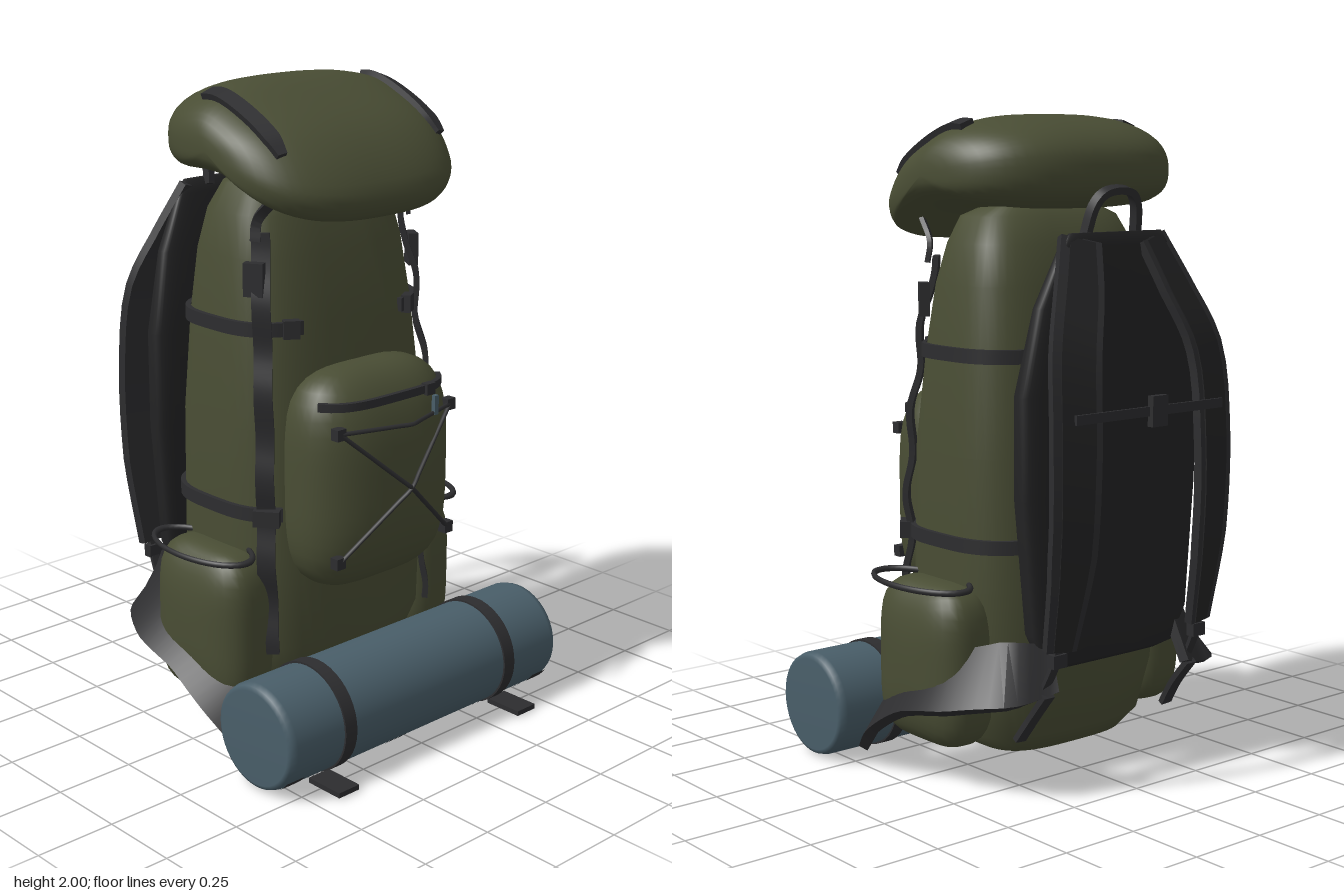
import * as THREE from 'three';
import { mergeVertices, toCreasedNormals } from 'three/addons/utils/BufferGeometryUtils.js';

const V = (x, y, z) => new THREE.Vector3(x, y, z);
const mat = (name, color) => { const m = new THREE.MeshStandardMaterial({ color }); m.name = name; return m; };
const spow = (v, p) => Math.sign(v) * Math.pow(Math.abs(v), p);
const range = (n, f) => Array.from({ length: n + 1 }, (_, i) => f(i / n));

// Closed skin over a list of rings, faces turned outward by signed volume
function loft(rings) {
  const n = rings[0].length, pts = rings.flat(), idx = [];
  for (let r = 0; r < rings.length - 1; r++) for (let i = 0; i < n; i++) {
    const a = r * n + i, b = r * n + (i + 1) % n;
    idx.push(a, b, b + n, a, b + n, a + n);
  }
  const cap = (start, flip) => {
    const mid = V(0, 0, 0);
    for (let i = 0; i < n; i++) mid.addScaledVector(pts[start + i], 1 / n);
    const c = pts.push(mid) - 1;
    for (let i = 0; i < n; i++) {
      const a = start + i, b = start + (i + 1) % n;
      idx.push(c, flip ? b : a, flip ? a : b);
    }
  };
  cap(0, true);
  cap((rings.length - 1) * n, false);
  let vol = 0;
  for (let i = 0; i < idx.length; i += 3)
    vol += pts[idx[i]].dot(V(0, 0, 0).crossVectors(pts[idx[i + 1]], pts[idx[i + 2]]));
  if (vol < 0) idx.reverse();
  const g = new THREE.BufferGeometry().setFromPoints(pts);
  g.setIndex(idx);
  g.computeVertexNormals();
  return g;
}

// Flat webbing along a path; side is the direction of its width
function ribbon(points, width, thick, side, steps = 20) {
  const curve = new THREE.CatmullRomCurve3(points);
  const w = Array.isArray(width) ? width : [width, width];
  return toCreasedNormals(loft(range(steps, t => {
    const p = curve.getPoint(t), T = curve.getTangent(t);
    const S = side.clone().addScaledVector(T, -side.dot(T)).normalize();
    const N = V(0, 0, 0).crossVectors(T, S);
    const k = t * (w.length - 1), i = Math.min(Math.floor(k), w.length - 2);
    const h = THREE.MathUtils.lerp(w[i], w[i + 1], k - i) / 2;
    return [[1, 1], [1, -1], [-1, -1], [-1, 1]].map(([a, b]) =>
      p.clone().addScaledVector(S, a * h).addScaledVector(N, b * thick / 2));
  })), 0.7);
}

// Stuffed pouch: rounded outline (n) in xy, domed (m) along z
function pouch(w, h, d, n, m) {
  let g = new THREE.SphereGeometry(1, 40, 28);
  g.deleteAttribute('uv');
  g.deleteAttribute('normal');
  g = mergeVertices(g, 1e-4);
  const p = g.attributes.position;
  for (let i = 0; i < p.count; i++) {
    const x = p.getX(i), y = p.getY(i), z = p.getZ(i);
    const o = Math.pow(Math.abs(x) ** n + Math.abs(y) ** n, m / n);
    const k = Math.pow(o + Math.abs(z) ** m, -1 / m);
    p.setXYZ(i, x * k * w, y * k * h, z * k * d);
  }
  g.computeVertexNormals();
  return g;
}

// Rows of height, half width, front z, back z
const BODY = [[.07, .15, .03, -.17], [.085, .25, .09, -.225], [.14, .32, .17, -.262], [.3, .36, .235, -.298],
  [.6, .375, .232, -.302], [1, .372, .222, -.297], [1.3, .35, .185, -.277], [1.5, .328, .15, -.252],
  [1.62, .3, .115, -.222], [1.7, .26, .085, -.18], [1.75, .15, 0, -.12]];
const PANEL = [[.38, .2, -.35, -.37], [.4, .26, -.33, -.4], [.5, .31, -.32, -.41], [.9, .345, -.31, -.41],
  [1.2, .345, -.31, -.41], [1.45, .29, -.335, -.412], [1.62, .21, -.36, -.41], [1.66, .18, -.38, -.4]];

function sectionPoint(rows, n, a, y, off = 0) {
  let i = 0;
  while (i < rows.length - 2 && y > rows[i + 1][0]) i++;
  const t = (y - rows[i][0]) / (rows[i + 1][0] - rows[i][0]);
  const [, w, f, b] = rows[i].map((v, k) => THREE.MathUtils.lerp(v, rows[i + 1][k], t));
  return V((w + off) * spow(Math.cos(a), 2 / n), y, (f + b) / 2 + ((f - b) / 2 + off) * spow(Math.sin(a), 2 / n));
}
const sectionLoft = (rows, n) => loft(rows.map(r =>
  range(47, t => sectionPoint(rows, n, t * Math.PI * 2 * 47 / 48, r[0]))));

// Lid side profile as z, y
const LID = [[-.345, 1.88], [-.3, 1.94], [-.2, 1.985], [-.06, 1.998], [.08, 1.95], [.22, 1.87], [.31, 1.77], [.345, 1.68],
  [.305, 1.62], [.2, 1.66], [.06, 1.71], [-.1, 1.725], [-.27, 1.73], [-.34, 1.78]];
const lidPoint = (x, z, y) => {
  const s = Math.pow(1 - Math.abs(x / .415) ** 2.8, 1 / 2.8);
  return V(x, 1.82 + (y - 1.82) * s, z * s);
};

// Front pocket surface
const PK = { w: .287, h: .343, d: .18, y: .833, z: .235, n: 4, m: 2.4 };
const onPocket = (x, y, off) => {
  const o = Math.pow(Math.abs(x / PK.w) ** PK.n + Math.abs((y - PK.y) / PK.h) ** PK.n, PK.m / PK.n);
  return V(x, y, PK.z + off + PK.d * Math.pow(Math.max(0, 1 - o), 1 / PK.m));
};

export function createModel() {
  const root = new THREE.Group();
  const olive = mat('olive canvas', 0x494d34), web = mat('black webbing', 0x2d2d2f);
  const pad = mat('black padding', 0x232324), blue = mat('blue foam', 0x495e69);
  const add = (name, g, m, x = 0, y = 0, z = 0) => {
    const o = new THREE.Mesh(g, m);
    o.name = name;
    o.position.set(x, y, z);
    root.add(o);
    return o;
  };
  const box = (name, w, h, d, m, p) => add(name, new THREE.BoxGeometry(w, h, d), m, p.x, p.y, p.z);
  const UP = V(0, 1, 0), RIGHT = V(1, 0, 0);

  add('body', sectionLoft(BODY, 3.2), olive);
  add('backPanel', sectionLoft(PANEL, 4), pad);

  // Lid
  const prof = new THREE.CatmullRomCurve3(LID.map(([z, y]) => V(0, y, z)), true).getPoints(48).slice(0, 48);
  add('lid', loft(range(32, t => {
    const x = .4149 * Math.sin((t - .5) * Math.PI);
    return prof.map(p => lidPoint(x, p.z, p.y));
  })), olive);

  // Front pocket with zip and taut bungee cord
  add('frontPocket', pouch(PK.w, PK.h, PK.d, PK.n, PK.m), olive, 0, PK.y, PK.z);
  add('pocketZip', ribbon(range(14, t => onPocket(-.25 + .5 * t, 1.09, .004)), .025, .016, UP), web);
  box('zipSlider', .035, .035, .025, web, onPocket(.13, 1.09, .012));
  box('zipPull', .016, .06, .014, blue, onPocket(.13, 1.045, .022));
  [[1.02, .62], [.62, 1.02], [1.02, 1.02]].forEach(([y0, y1]) => {
    const path = new THREE.CatmullRomCurve3(range(12, t =>
      V(-.23 + .46 * t, y0 + (y1 - y0) * t, .442 - .14 * Math.abs(t - .5))));
    add('bungeeCord', new THREE.TubeGeometry(path, 24, .007, 6), web);
  });

  // Bedroll with worn dark patches underneath
  const roll = [[0, -.577], [.145, -.577], [.158, -.57], [.164, -.55], [.164, .55], [.158, .57], [.145, .577], [0, .577]];
  add('bedroll', new THREE.LatheGeometry(roll.map(p => new THREE.Vector2(...p)), 40), blue, 0, .172, .378).rotation.z = Math.PI / 2;
  [[-.53, .07, .4, .5], [-.43, .06, .3, .4], [-.1, .08, .2, .55], [.08, .05, 0, .5], [.27, .06, .3, .4], [.46, .05, .2, .5], [.53, .06, .45, .5]]
    .forEach(([x, w, a, len]) => {
      const g = new THREE.CylinderGeometry(.1655, .1655, w, 8, 1, true, Math.PI * 1.5 + a, len);
      add('bedrollPatch', g, web, x, .172, .378).rotation.z = Math.PI / 2;
    });

  for (const s of [1, -1]) {
    const P = pts => pts.map(([x, y, z]) => V(s * x, y, z));
    const onBody = (a, y, off) => { const p = sectionPoint(BODY, 3.2, a, y, off); p.x *= s; return p; };

    // Lid straps
    const lidPath = [[-.13, 1.996], [-.06, 1.998], [.08, 1.95], [.22, 1.87], [.275, 1.815]]
      .map(([z, y]) => lidPoint(s * .318, z, y).add(V(0, .007, .004)));
    add('lidStrap', ribbon(lidPath, [.05, .05, .05, .05, .03], .02, V(1, -.35 * s, 0)), web);

    // Wavy vertical webbing with buckles
    add('sideWebbing', ribbon(range(32, t => {
      const y = .3 + 1.28 * t;
      return onBody(.64, y, .018 + .009 * Math.sin(y * 24));
    }), .055, .018, V(s, 0, -1), 64), web);
    add('lidTether', ribbon(P([[.315, 1.56, .1], [.305, 1.62, .1], [.285, 1.7, .17]]), .03, .014, V(s, 0, -1)), web);
    const buckle = (name, a, y, off, w, h) => { box(name, w, h, .03, web, onBody(a, y, off)).rotation.y = s * (Math.PI / 2 - a); };
    buckle('sideBuckle', .55, 1.45, .025, .06, .1);
    buckle('compressionBuckle', 1.02, 1.3, .012, .05, .055);
    buckle('compressionBuckle', .66, .74, .03, .08, .05);

    // Compression straps round the sides
    [[1.3, 1.16], [.74, .85]].forEach(([y, a0]) => add('compressionStrap',
      ribbon(range(24, t => onBody(a0 - (a0 + 1.2) * t, y, .006)), .042, .016, UP, 40), web));

    // Side pocket and its rim
    add('sidePocket', pouch(.2, .25, .12, 4.5, 2.8), olive, s * .385, .37, -.02).rotation.y = s * Math.PI / 2;
    const rim = add('pocketRim', new THREE.TorusGeometry(1, .06, 8, 40), web, s * .435, .62, -.015);
    rim.rotation.x = Math.PI / 2;
    rim.scale.set(.1, .2, .16);

    // Wide shoulder strap with raised band, adjuster and loose tail
    const strap = [[.14, 1.64, -.39], [.19, 1.5, -.445], [.255, 1.32, -.503], [.272, 1.05, -.527], [.275, .75, -.517], [.28, .47, -.467]];
    const across = V(1, 0, .2 * s);
    add('shoulderStrap', ribbon(P(strap), [.13, .15, .16, .16, .15, .1], .026, across), web);
    add('shoulderBand', ribbon(P(strap.map(([x, y, z]) => [x, y, z - .013])), [.08, .1, .11, .11, .1, .06], .008, across), pad);
    add('adjusterStrap', ribbon(P([[.28, .48, -.465], [.285, .42, -.45], [.29, .34, -.41]]), .03, .012, RIGHT), web);
    box('adjusterBuckle', .05, .04, .03, web, V(s * .282, .44, -.46));
    add('adjusterTail', ribbon(P([[.29, .33, -.43], [.29, .25, -.365], [.3, .17, -.31]]), .04, .018, RIGHT), web);

    // Hip belt sweeping forward and down
    add('hipBelt', ribbon(P([[.25, .4, -.41], [.38, .385, -.34], [.46, .345, -.19], [.49, .28, -.02], [.487, .19, .12], [.455, .1, .215]]),
      [.14, .2, .2, .14, .14, .14], .03, V(-.8 * s, 1, 0), 24), web);

    // Bedroll band and tail
    add('bedrollBand', new THREE.CylinderGeometry(.17, .17, .045, 40), web, s * .345, .172, .378).rotation.z = Math.PI / 2;
    box('bedrollTail', .08, .016, .13, web, V(s * .39, .014, .52));

    // Cord toggles
    [1.02, .62].forEach(y => box('cordToggle', .035, .035, .03, web, V(s * .23, y, .365)));
  }

  // Chest strap and grab handle
  add('chestStrap', ribbon([V(-.29, 1.15, -.545), V(0, 1.155, -.568), V(.29, 1.15, -.545)], .028, .01, UP), web);
  box('chestBuckle', .06, .09, .022, web, V(0, 1.155, -.574));
  add('grabHandle', ribbon([V(-.1, 1.64, -.365), V(-.08, 1.74, -.388), V(-.045, 1.775, -.4), V(.045, 1.775, -.4),
    V(.08, 1.74, -.388), V(.1, 1.64, -.365)], .03, .022, V(0, .3, 1), 28), web);
  return root;
}
